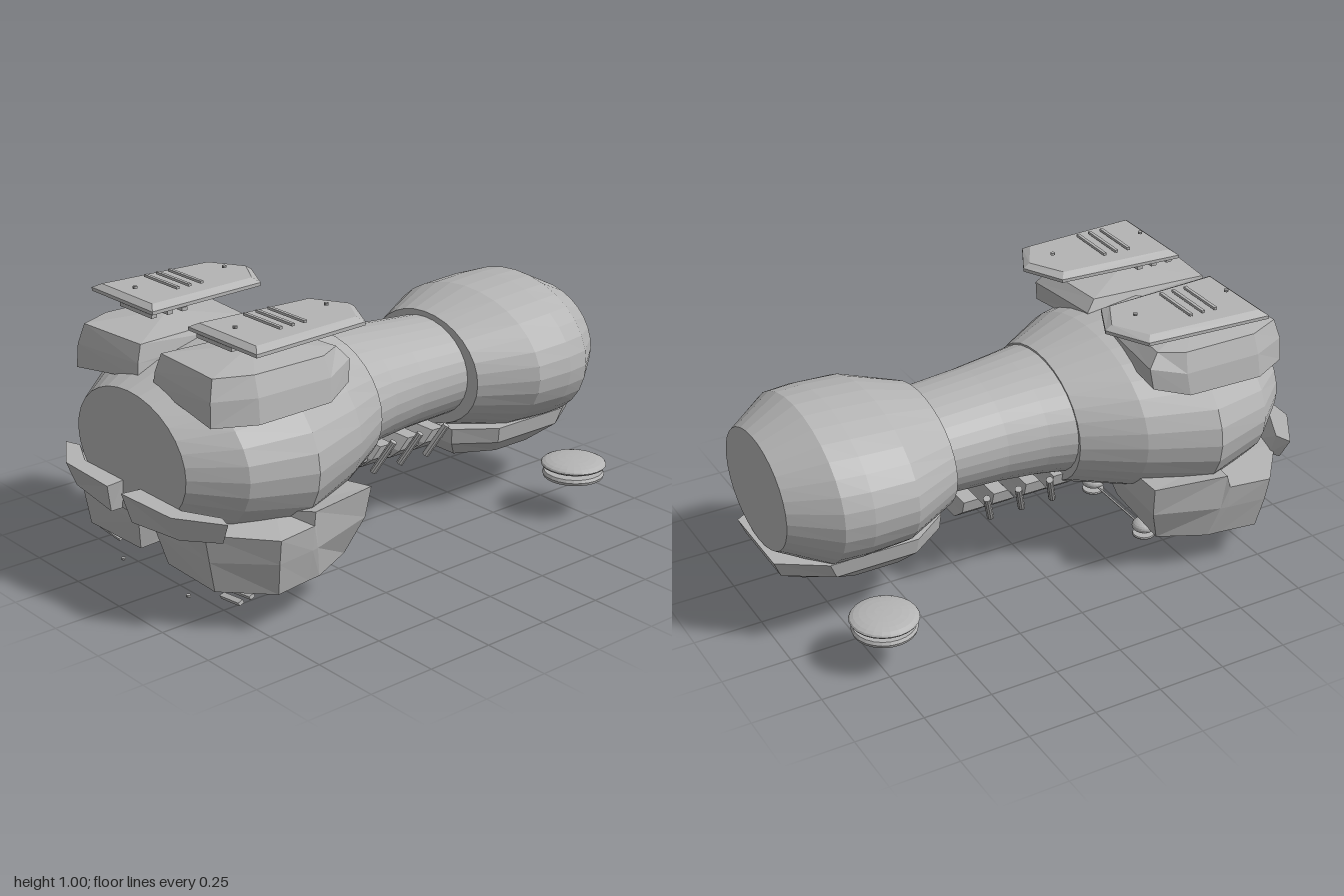
import * as THREE from 'three';

const grey = new THREE.MeshStandardMaterial({ color: 0xb4b4b4 });
grey.name = 'plain grey';
grey.flatShading = true;

// Skin a list of closed loops, cap both ends, and turn all faces outward.
function loft(name, rings, endPoint) {
  const n = rings[0].length, pts = rings.flat(), index = [];
  const middle = (r) => [0, 1, 2].map((k) => r.reduce((s, p) => s + p[k], 0) / n);
  const last = (rings.length - 1) * n;
  const a = pts.push(middle(rings[0])) - 1;
  const b = pts.push(endPoint || middle(rings[rings.length - 1])) - 1;
  for (let i = 0; i < n; i++) {
    const j = (i + 1) % n;
    for (let r = 0; r < last; r += n) {
      index.push(r + i, r + j, r + n + j, r + i, r + n + j, r + n + i);
    }
    index.push(a, j, i, b, last + i, last + j);
  }
  let volume = 0;
  const c = middle(rings[0]);
  const v = pts.map((p) => new THREE.Vector3(p[0] - c[0], p[1] - c[1], p[2] - c[2]));
  for (let i = 0; i < index.length; i += 3) {
    volume += v[index[i]].dot(v[index[i + 1]].clone().cross(v[index[i + 2]]));
  }
  if (volume < 0) index.reverse();
  const geo = new THREE.BufferGeometry();
  geo.setAttribute('position', new THREE.Float32BufferAttribute(pts.flat(), 3));
  geo.setIndex(index);
  geo.computeVertexNormals();
  return named(name, geo);
}

function named(name, geo, x = 0, y = 0, z = 0) {
  const mesh = new THREE.Mesh(geo, grey);
  mesh.name = name;
  mesh.position.set(x, y, z);
  return mesh;
}

// Elliptical sections along z: [z, centre y, half width, half height]
function barrel(name, sections) {
  return loft(name, sections.map(([z, cy, rx, ry]) => Array.from({ length: 32 }, (_, i) => {
    const t = (i / 32) * Math.PI * 2;
    return [rx * Math.sin(t), cy + ry * Math.cos(t), z];
  })));
}

function rod(name, from, to, radius) {
  const a = new THREE.Vector3(...from), d = new THREE.Vector3(...to).sub(a);
  const mesh = named(name, new THREE.CylinderGeometry(radius, radius, d.length(), 10));
  mesh.position.copy(a).addScaledVector(d, 0.5);
  mesh.quaternion.setFromUnitVectors(new THREE.Vector3(0, 1, 0), d.normalize());
  return mesh;
}

// Flattened dome above a separate stepped ring
function thruster(name, x, y, z, r, ry, drop) {
  const g = new THREE.Group();
  g.name = name;
  g.position.set(x, y, z);
  const dome = named('dome', new THREE.SphereGeometry(r, 24, 12));
  dome.scale.y = ry / r;
  const h = r * 0.06;
  const profile = [[0, 0], [0.55, 0], [0.6, -h], [0.7, -h], [0.75, 0], [0.8, -h * 1.5], [0.92, -h * 1.5],
    [0.95, 0], [0.9, h * 1.5], [0, h * 1.5]].map(([u, w]) => new THREE.Vector2(u * r, w));
  g.add(dome, named('nozzleRing', new THREE.LatheGeometry(profile, 24), 0, -drop, 0));
  return g;
}

export function createModel() {
  const model = new THREE.Group();
  model.name = 'model';

  // Main hull
  model.add(
    barrel('chest', [[0.93, 0.54, 0.31, 0.218], [0.78, 0.535, 0.45, 0.28], [0.55, 0.53, 0.518, 0.337],
      [0.3, 0.545, 0.43, 0.29], [0.1, 0.54, 0.305, 0.24]]),
    barrel('waist', [[0.15, 0.555, 0.305, 0.222], [0, 0.558, 0.27, 0.207], [-0.15, 0.556, 0.247, 0.195],
      [-0.4, 0.55, 0.23, 0.183]]),
    barrel('hips', [[-0.37, 0.545, 0.285, 0.21], [-0.57, 0.55, 0.4, 0.262], [-0.73, 0.548, 0.398, 0.275],
      [-0.83, 0.546, 0.38, 0.278], [-0.985, 0.545, 0.258, 0.203]]),
  );

  // Keel under the hips
  const keel = (y, w, front, back) => [[-w * 0.6, y, front], [w * 0.6, y, front], [w, y, front - 0.14],
    [w, y, back + 0.16], [w * 0.6, y, back], [-w * 0.6, y, back], [-w, y, back + 0.16], [-w, y, front - 0.14]];
  model.add(loft('hipKeel', [keel(0.34, 0.26, -0.37, -1), keel(0.28, 0.25, -0.375, -0.975),
    keel(0.22, 0.19, -0.42, -0.88)], [0, 0.2, -0.66]));

  // Belly ribs
  for (const z of [0.105, -0.007, -0.137, -0.255]) {
    const rib = (y, w, d, dz) => [[-w, y, z + dz - d], [w, y, z + dz - d], [w, y, z + dz + d], [-w, y, z + dz + d]];
    model.add(loft('bellyRib', [rib(0.38, 0.19, 0.028, -0.015), rib(0.335, 0.18, 0.045, 0),
      rib(0.295, 0.13, 0.05, 0), rib(0.285, 0.11, 0.038, 0)]));
  }

  // Lower landing sensors
  model.add(thruster('frontSensor', 0, 0.143, 0.7, 0.045, 0.026, 0.034));
  model.add(rod('sensorCrossRod', [-0.15, 0.033, 0.46], [0.15, 0.033, 0.46], 0.004));

  for (const s of [-1, 1]) {
    const side = s > 0 ? 'left' : 'right';
    const part = (name, rings, end) => model.add(loft(side + name,
      rings.map((r) => r.map(([x, y, z]) => [s * x, y, z])), end && [s * end[0], end[1], end[2]]));

    // Upper shoulder block
    part('ShoulderBlock', [
      [[0.042, 0.77, 0.86], [0.38, 0.725, 0.88], [0.452, 0.725, 0.74], [0.452, 0.73, 0.45], [0.4, 0.76, 0.33], [0.07, 0.79, 0.35]],
      [[0.048, 0.82, 0.855], [0.375, 0.81, 0.875], [0.44, 0.81, 0.735], [0.44, 0.81, 0.44], [0.39, 0.835, 0.32], [0.07, 0.84, 0.35]],
      [[0.058, 0.88, 0.835], [0.36, 0.88, 0.855], [0.415, 0.88, 0.73], [0.415, 0.88, 0.45], [0.37, 0.882, 0.36], [0.085, 0.882, 0.385]],
    ], [0.235, 0.907, 0.6]);

    // Floating bevelled plate
    const plate = (y, k) => [[0.1, 0.755], [0.46, 0.755], [0.43, 0.285], [0.28, 0.205], [0.13, 0.28]]
      .map(([x, z]) => [0.28 + (x - 0.28) * k, y, 0.5 + (z - 0.5) * (k * 0.5 + 0.5)]);
    part('TopPlate', [plate(0.952, 1), plate(0.964, 1), plate(0.98, 0.83)]);

    // Slot bars and pins above and below the plate
    for (const z of [0.49, 0.54, 0.59]) model.add(named(side + 'UpperBar', new THREE.BoxGeometry(0.19, 0.009, 0.012), s * 0.279, 0.994, z));
    for (const z of [0.605, 0.665, 0.73]) model.add(named(side + 'InnerBar', new THREE.BoxGeometry(0.185, 0.013, 0.022), s * 0.219, 0.937, z));
    for (const z of [0.325, 0.7]) model.add(named(side + 'PlatePin', new THREE.CylinderGeometry(0.008, 0.008, 0.008, 10), s * 0.278, 0.996, z));

    // Lower block with raised rear rim
    part('LowerBlock', [
      [[0.036, 0.345, 0.88], [0.36, 0.36, 0.9], [0.553, 0.36, 0.74], [0.53, 0.36, 0.585], [0.524, 0.405, 0.575], [0.48, 0.405, 0.3], [0.06, 0.36, 0.34]],
      [[0.05, 0.26, 0.875], [0.362, 0.26, 0.885], [0.537, 0.27, 0.735], [0.52, 0.27, 0.585], [0.515, 0.27, 0.56], [0.46, 0.29, 0.31], [0.075, 0.28, 0.345]],
      [[0.08, 0.145, 0.85], [0.36, 0.15, 0.865], [0.51, 0.15, 0.72], [0.49, 0.15, 0.58], [0.485, 0.15, 0.53], [0.41, 0.155, 0.36], [0.1, 0.155, 0.39]],
    ], [0.29, 0.107, 0.61]);

    // Front collar band, in two straight segments
    const top = [[0.04, 1, 0.05, 0.93], [0.305, 0.99, 0.28, 0.93], [0.468, 0.885, 0.41, 0.865]];
    const low = [[0.06, 0.975, 0.06, 0.9, 0.325], [0.3, 0.955, 0.27, 0.89, 0.338], [0.425, 0.875, 0.39, 0.855, 0.347]];
    for (const i of [0, 1]) {
      const ring = (p, y0, y1) => [[p[i][0], y0, p[i][1]], [p[i + 1][0], y1, p[i + 1][1]],
        [p[i + 1][2], y1, p[i + 1][3]], [p[i][2], y0, p[i][3]]];
      part('CollarBand', [ring(top, 0.428, 0.428), ring(low, low[i][4], low[i + 1][4])]);
    }

    // Bars and pin below the lower block
    for (const [y, z] of [[0.092, 0.79], [0.1, 0.745], [0.107, 0.7]]) {
      const bar = named(side + 'LowerBar', new THREE.BoxGeometry(0.112, 0.013, 0.02), s * 0.35, y + 0.005, z);
      bar.rotation.set(0.4, 0, s * 0.16);
      model.add(bar);
    }
    model.add(named(side + 'LowerPin', new THREE.CylinderGeometry(0.008, 0.008, 0.008, 10), s * 0.19, 0.068, 0.85));

    // Waist pegs
    for (const z of [0.05, -0.075, -0.2]) {
      model.add(rod(side + 'WaistPeg', [s * 0.2, 0.3, z], [s * 0.258, 0.42, z - 0.045], 0.013));
    }

    // Hip thruster, rear sensor and its rod
    model.add(thruster(side + 'HipThruster', s * 0.43, 0.2, -0.73, 0.12, 0.024, 0.037));
    model.add(thruster(side + 'RearSensor', s * 0.18, 0.045, 0.46, 0.045, 0.026, 0.036));
    model.add(rod(side + 'SensorRod', [s * 0.145, 0.05, 0.47], [s * 0.03, 0.12, 0.69], 0.005));
  }
  return model;
}
